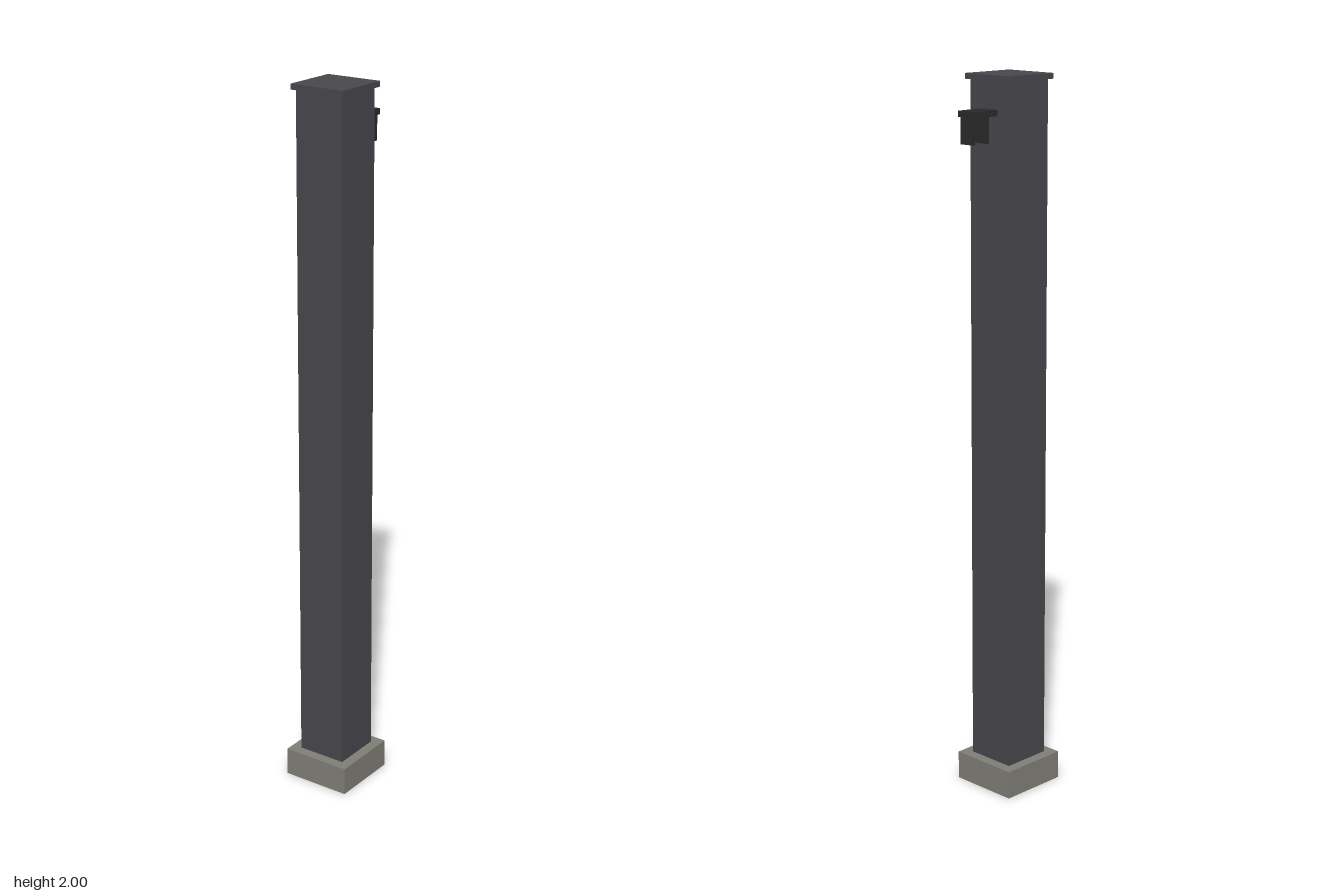
import * as THREE from 'three';

export function createModel() {
  const model = new THREE.Group();
  model.name = 'post';

  const material = (name, color, side = THREE.FrontSide) => {
    const m = new THREE.MeshStandardMaterial({ color, side });
    m.name = name;
    return m;
  };
  const steel = material('charcoal steel', 0x48484d);
  const concrete = material('concrete grey', 0x7f7e76, THREE.DoubleSide);
  const black = material('black metal', 0x2a2a2a);

  // Box given by its size, the height of its underside and its z centre
  const box = (name, mat, [w, h, d], bottom, z, parent = model) => {
    const mesh = new THREE.Mesh(new THREE.BoxGeometry(w, h, d), mat);
    mesh.name = name;
    mesh.position.set(0, bottom + h / 2, z);
    parent.add(mesh);
    return mesh;
  };

  const postZ = 0.028;

  // Footing: hollow, open underneath (drop the -y face of the box)
  const base = box('footing', concrete, [0.202, 0.08, 0.202], 0, postZ);
  const index = Array.from(base.geometry.index.array);
  index.splice(18, 6);
  base.geometry.setIndex(index);
  base.geometry.clearGroups();

  // Square column and cap plate
  box('column', steel, [0.144, 1.906, 0.144], 0.0805, postZ);
  box('cap', steel, [0.164, 0.015, 0.164], 1.985, postZ);

  // Rear bracket: shelf plate with two hanging tabs
  const bracket = new THREE.Group();
  bracket.name = 'rearBracket';
  model.add(bracket);
  box('bracketPlate', black, [0.059, 0.016, 0.089], 1.895, -0.0865, bracket);
  for (const [name, z] of [['innerTab', -0.073], ['outerTab', -0.125]]) {
    box(name, black, [0.045, 0.072, 0.008], 1.825, z, bracket);
  }

  return model;
}
